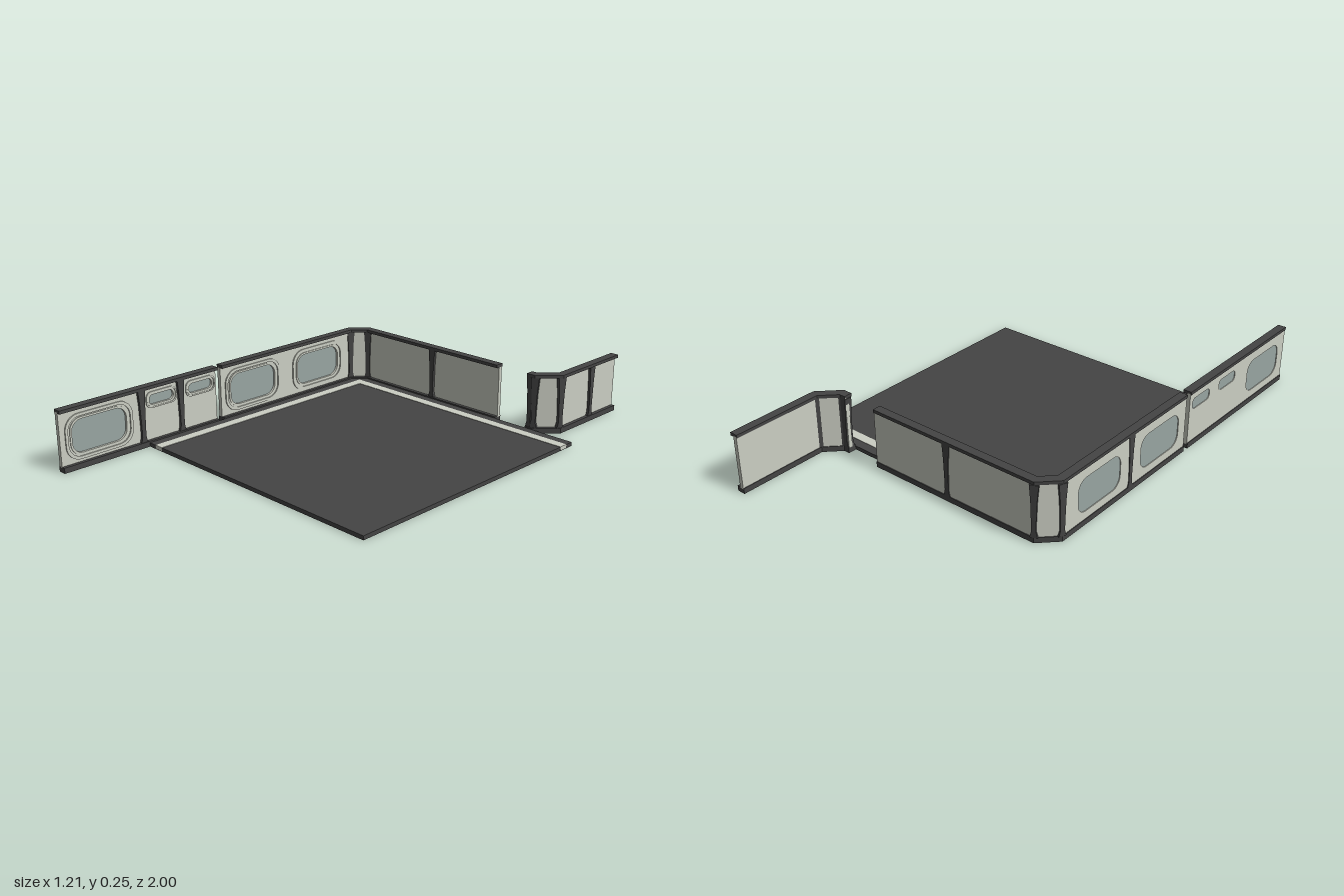
import * as THREE from 'three';

const mat = (color, side = THREE.FrontSide) => new THREE.MeshStandardMaterial({ color, side, flatShading: true });
const DARK = mat(0x444444), PANEL = mat(0xcbcec3), GLASS = mat(0x98a5a2);
const WALL = 0.035, BASE = 0.022, HEAD = 0.232, TOP = 0.245;

function mesh(name, geometry, material) {
  const m = new THREE.Mesh(geometry, material);
  m.name = name;
  return m;
}

// Extrude a shape between two depths
function slab(shape, z0, z1) {
  return new THREE.ExtrudeGeometry(shape, { depth: z1 - z0, bevelEnabled: false, curveSegments: 4 }).translate(0, 0, z0);
}

// Plan outline [x, z] raised between two heights
function plan(points, y0, y1) {
  const shape = new THREE.Shape(points.map(([x, z]) => new THREE.Vector2(x, z)));
  return slab(shape, 0, y1 - y0).rotateX(Math.PI / 2).translate(0, y1, 0);
}

function roundRect(cx, cy, w, h, r, Type = THREE.Shape) {
  const s = new Type(), x = w / 2, y = h / 2;
  s.absarc(cx + x - r, cy + y - r, r, 0, Math.PI / 2);
  s.absarc(cx - x + r, cy + y - r, r, Math.PI / 2, Math.PI);
  s.absarc(cx - x + r, cy - y + r, r, Math.PI, Math.PI * 1.5);
  s.absarc(cx + x - r, cy - y + r, r, Math.PI * 1.5, Math.PI * 2);
  s.closePath();
  return s;
}

function ring(cx, cy, w, h, r, t, z0, z1) {
  const s = roundRect(cx, cy, w, h, r);
  s.holes.push(roundRect(cx, cy, w - 2 * t, h - 2 * t, r - t * 0.6, THREE.Path));
  return slab(s, z0, z1);
}

// Tapered pillar: broad head, slim shaft, flared foot
function pillar(s, z0, z1) {
  const side = [[0.015, BASE], [0.012, 0.032], [0.009, 0.045], [0.009, 0.08], [0.012, 0.17], [0.017, HEAD]];
  const pts = [...side, ...side.map(([x, y]) => [-x, y]).reverse()];
  return mesh('pillar', slab(new THREE.Shape(pts.map(([x, y]) => new THREE.Vector2(s + x, y))), z0, z1), DARK);
}

const WINDOWS = {
  large: { y: 0.123, w: 0.245, h: 0.138, r: 0.045, frame: 0.025 },
  small: { y: 0.183, w: 0.12, h: 0.046, r: 0.018, frame: 0.012 },
};

// Group whose x runs along the wall and z points to its inner side
function frameAt(p, dir, name) {
  const g = new THREE.Group();
  g.name = name;
  g.position.set(p.x, 0, p.y);
  g.rotation.y = Math.atan2(-dir.y, dir.x);
  return g;
}

function wallSegment(a, b, { windows = [], inner = [], outer = [], through = [] } = {}) {
  const d = b.clone().sub(a), length = d.length();
  const g = frameAt(a, d, 'wallSegment');
  const shape = new THREE.Shape();
  shape.moveTo(0, BASE - 0.004).lineTo(length, BASE - 0.004).lineTo(length, HEAD + 0.004).lineTo(0, HEAD + 0.004);
  for (const [s, kind] of windows) {
    const { y, w, h, r, frame } = WINDOWS[kind];
    shape.holes.push(roundRect(s, y, w, h, r, THREE.Path));
    g.add(mesh('windowGlass', slab(roundRect(s, y, w + 0.002, h + 0.002, r), 0.006, 0.013), GLASS));
    g.add(mesh('windowFrame', ring(s, y, w + 2 * frame, h + 2 * frame * 0.85, r + frame * 0.6, frame * 0.45, 0.019, 0.025), PANEL));
    g.add(mesh('windowRim', ring(s, y, w + 0.01, h + 0.01, r + 0.004, 0.008, 0.012, 0.023), PANEL));
  }
  g.add(mesh('wallPanel', slab(shape, 0.003, 0.02), PANEL));
  inner.forEach(s => g.add(pillar(s, 0.015, 0.031)));
  outer.forEach(s => g.add(pillar(s, 0, 0.008)));
  through.forEach(s => g.add(pillar(s, 0, 0.031)));
  return g;
}

// Wall along an outer path [x, z], its thickness mitred to the inner side
function wall(name, path, details) {
  const g = new THREE.Group();
  g.name = name;
  const pts = path.map(p => new THREE.Vector2(...p));
  const dirs = pts.slice(1).map((p, i) => p.clone().sub(pts[i]).normalize());
  const normals = dirs.map(d => new THREE.Vector2(-d.y, d.x));
  const offset = pts.map((p, i) => {
    const n0 = normals[Math.max(i - 1, 0)], n1 = normals[Math.min(i, normals.length - 1)];
    return p.clone().addScaledVector(n0.clone().add(n1), WALL / (1 + n0.dot(n1)));
  });
  const outline = [...pts, ...offset.reverse()].map(p => [p.x, p.y]);
  g.add(mesh('bottomRail', plan(outline, 0, BASE), DARK));
  g.add(mesh('topRail', plan(outline, HEAD, TOP), DARK));
  dirs.forEach((d, i) => {
    g.add(wallSegment(pts[i], pts[i + 1], details[i]));
    // Pillar at each bend
    if (i > 0) {
      const corner = frameAt(pts[i], d.clone().add(dirs[i - 1]), 'cornerPillar');
      corner.add(pillar(0, 0, 0.033));
      g.add(corner);
    }
  });
  return g;
}

export function createModel() {
  const model = new THREE.Group();
  model.name = 'roomModule';

  // Floor slab with a light L-shaped inlay
  model.add(mesh('floor', plan([[-0.565, 0.62], [-0.565, -0.486], [-0.515, -0.535], [0.6, -0.535], [0.6, 0.62]], 0, 0.016), DARK));
  model.add(mesh('floorInlay', plan([[-0.527, 0.621], [-0.527, -0.498], [0.601, -0.498], [0.601, -0.46], [-0.488, -0.46], [-0.488, 0.621]], 0.003, 0.0175), PANEL));

  // Side wall turning the corner into the back wall
  model.add(wall('cornerWall', [[-0.6, 0.25], [-0.6, -0.5], [-0.53, -0.57], [0.22, -0.57]], [
    { windows: [[0.17, 'large'], [0.54, 'large']], outer: [0.355] },
    {},
    { through: [0.395] },
  ]));

  // Forward side wall
  model.add(wall('frontSideWall', [[-0.6, 1], [-0.6, 0.275]], [
    { windows: [[0.17, 'large'], [0.455, 'small'], [0.645, 'small']], inner: [0.36, 0.545] },
  ]));

  // Detached passage wall behind the room
  model.add(wall('passageWall', [[0.37, -0.57], [0.395, -0.57], [0.455, -0.63], [0.455, -1]], [
    { through: [0.015] }, {}, { inner: [0.195] },
  ]));

  return model;
}
